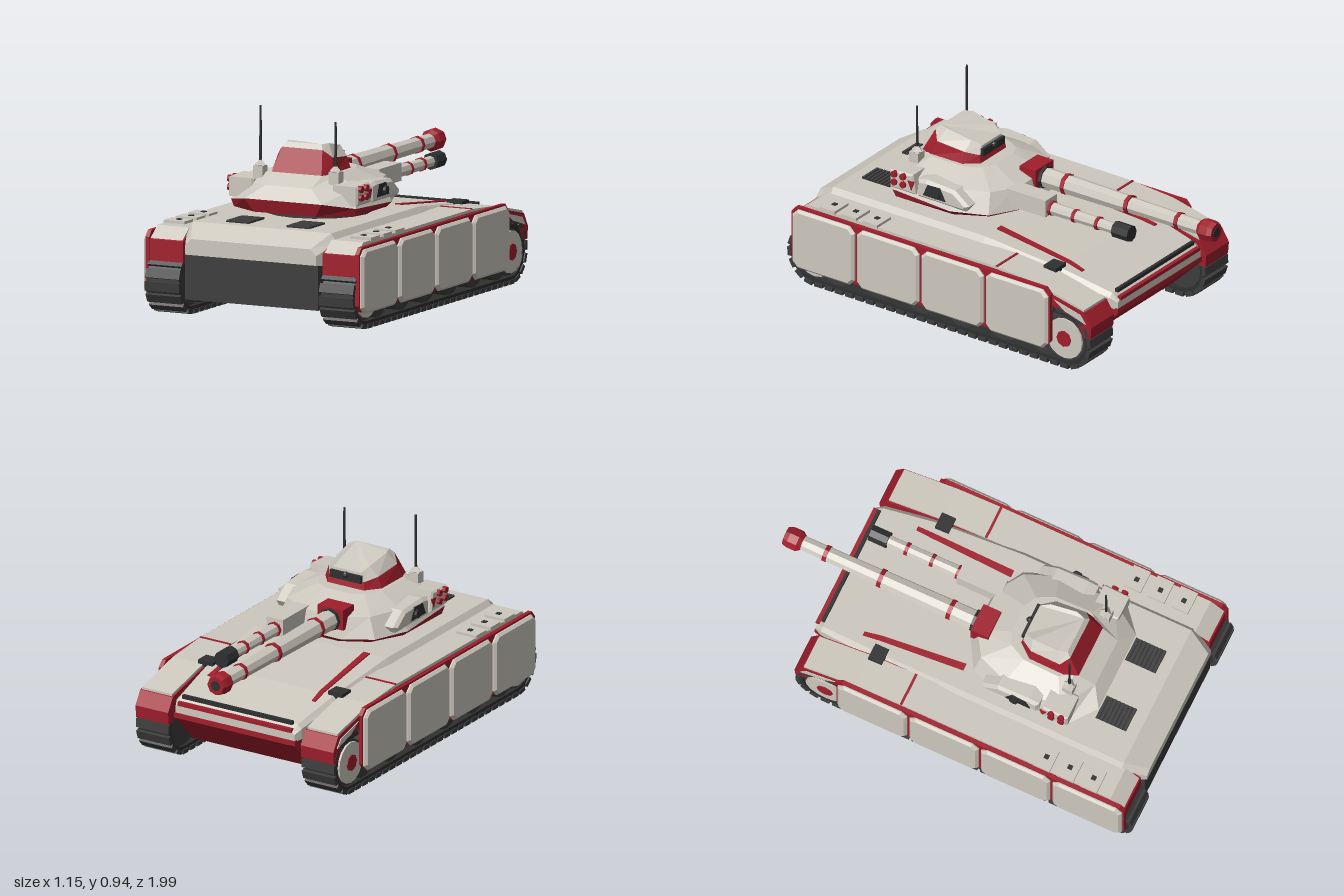
import * as THREE from 'three';

const mat = (name, color) => Object.assign(new THREE.MeshStandardMaterial({ color }), { name });

export function createModel() {
  const white = mat('warm white', 0xcdc8be), red = mat('deep red', 0xa01e2c);
  const dark = mat('dark grey', 0x3c3c3c), black = mat('rubber black', 0x2e2f30);
  const model = new THREE.Group();
  model.name = 'tank';

  // Adds a faceted mesh
  const add = (name, geo, material, x = 0, y = 0, z = 0, parent = model) => {
    const g = geo.index ? geo.toNonIndexed() : geo;
    g.computeVertexNormals();
    const m = new THREE.Mesh(g, material);
    m.name = name;
    m.position.set(x, y, z);
    parent.add(m);
    return m;
  };
  const box = (name, material, w, h, d, x, y, z, parent) =>
    add(name, new THREE.BoxGeometry(w, h, d), material, x, y, z, parent);

  // Skin over a list of rings of [x, y, z], counter-clockwise seen from the first ring's end
  const loft = (rings) => {
    const n = rings[0].length, p = [];
    for (let k = 0; k < rings.length - 1; k++) {
      const a = rings[k], b = rings[k + 1];
      for (let i = 0; i < n; i++) {
        const j = (i + 1) % n;
        p.push(...a[i], ...b[i], ...a[j], ...a[j], ...b[i], ...b[j]);
      }
    }
    const last = rings[rings.length - 1];
    for (let i = 1; i < n - 1; i++) {
      p.push(...rings[0][0], ...rings[0][i], ...rings[0][i + 1]);
      p.push(...last[0], ...last[i + 1], ...last[i]);
    }
    const g = new THREE.BufferGeometry();
    g.setAttribute('position', new THREE.Float32BufferAttribute(p, 3));
    return g;
  };
  // Symmetric plan outline: half runs rear to front as [x, z, y]
  const plan = (y, half) => {
    const r = half.map(([x, z, yy = y]) => [x, yy, z]);
    return r.concat(r.slice().reverse().map(([x, yy, z]) => [-x, yy, z]));
  };
  // Side profile of [z, y] points extruded across x and centred
  const profile = (pts, width, bevel = 0, hole) => {
    const v = (q) => q.map(([z, y]) => new THREE.Vector2(-z, y));
    const s = new THREE.Shape(v(pts));
    if (hole) s.holes.push(new THREE.Path(v(hole)));
    const g = new THREE.ExtrudeGeometry(s, {
      depth: width - 2 * bevel, bevelEnabled: bevel > 0, bevelSize: bevel,
      bevelThickness: bevel, bevelOffset: -bevel, bevelSegments: 1,
    });
    return g.translate(0, 0, -(width - 2 * bevel) / 2).rotateY(Math.PI / 2);
  };
  // Faceted tube along z, from z0 back to the lower z1
  const tube = (name, material, x, y, z0, z1, r0, r1 = r0) =>
    add(name, new THREE.CylinderGeometry(r0, r1, z0 - z1, 8).rotateX(Math.PI / 2), material, x, y, (z0 + z1) / 2);
  const disc = (name, material, r, w, x, y, z, sides = 16, parent = model) =>
    add(name, new THREE.CylinderGeometry(r, r, w, sides).rotateZ(Math.PI / 2), material, x, y, z, parent);

  // Hull: z, deck half-width, deck height, side half-width, shoulder height, bottom
  const stations = [
    [0.97, 0.31, 0.37, 0.34, 0.34, 0.295], [0.86, 0.36, 0.432, 0.39, 0.39, 0.28],
    [0, 0.36, 0.432, 0.39, 0.39, 0.28], [-0.42, 0.345, 0.388, 0.37, 0.36, 0.26],
    [-0.69, 0.32, 0.33, 0.34, 0.31, 0.26], [-0.725, 0.31, 0.3, 0.325, 0.29, 0.255],
  ];
  add('upperHull', loft(stations.map(([z, wt, t, wm, m, b]) =>
    [[-wm, b, z], [wm, b, z], [wm, m, z], [wt, t, z], [-wt, t, z], [-wm, m, z]])), white);
  add('lowerHull', profile([[0.962, 0.295], [0.962, 0.085], [-0.55, 0.085], [-0.7, 0.26]], 0.69), dark);
  add('lowerFrontPlate', profile([[-0.54, 0.08], [-0.57, 0.08], [-0.728, 0.235], [-0.728, 0.26], [-0.69, 0.265]], 0.66), red);
  box('frontLip', red, 0.62, 0.018, 0.02, 0, 0.308, -0.722);
  box('frontBar', black, 0.6, 0.018, 0.016, 0, 0.337, -0.7);

  const roundStart = 0.84, roundEnd = -0.575, wheelY = 0.15;
  const stadium = (r) => {
    const pts = [];
    for (let i = 0; i <= 12; i++) {
      const a = Math.PI / 2 - (i / 12) * Math.PI;
      pts.push([roundStart + Math.cos(a) * r, wheelY + Math.sin(a) * r]);
    }
    return pts.concat(pts.slice().reverse().map(([z, y]) => [roundStart + roundEnd - z, y]));
  };

  for (const s of [1, -1]) {
    // Running gear
    const gear = new THREE.Group();
    gear.name = s > 0 ? 'leftRunningGear' : 'rightRunningGear';
    model.add(gear);
    add('trackBand', profile(stadium(0.138), 0.165, 0, stadium(0.115)), black, s * 0.452, 0, 0, gear);
    const run = roundStart - roundEnd, arc = Math.PI * 0.14, total = 2 * (run + arc), count = 64;
    for (let i = 0; i < count; i++) {
      let d = (i / count) * total;
      const far = d >= run + arc;
      if (far) d -= run + arc;
      let z, y, a = 0;
      if (d < run) { z = roundEnd + d; y = wheelY - 0.14; }
      else {
        a = (d - run) / 0.14;
        z = roundStart + 0.14 * Math.sin(a);
        y = wheelY - 0.14 * Math.cos(a);
      }
      if (far) { z = roundStart + roundEnd - z; y = 2 * wheelY - y; }
      const link = box('trackLink', dark, 0.178, 0.02, 0.043, s * 0.452, y, z, gear);
      link.rotation.x = -a - (far ? Math.PI : 0);
    }
    for (let i = 0; i < 6; i++) disc('roadWheel', dark, 0.105, 0.15, s * 0.452, 0.14, 0.72 - i * 0.235, 18, gear);
    for (const z of [roundStart, roundEnd]) {
      disc('endWheel', dark, 0.112, 0.15, s * 0.452, wheelY, z, 16, gear);
      disc('wheelCover', white, 0.1, 0.01, s * 0.533, wheelY, z, 16, gear);
      disc('wheelHub', red, 0.04, 0.014, s * 0.537, wheelY, z, 8, gear);
    }

    // Fender with pale top plate
    add('fender', profile([[0.95, 0.24], [0.95, 0.35], [0.87, 0.39], [-0.19, 0.392], [-0.42, 0.375], [-0.69, 0.315],
      [-0.73, 0.25], [-0.725, 0.19], [-0.69, 0.19], [-0.64, 0.27], [-0.5, 0.3], [0.88, 0.3]], 0.178), red, s * 0.451);
    add('fenderTop', profile([[0.945, 0.352], [0.875, 0.405], [-0.19, 0.405], [-0.42, 0.387], [-0.685, 0.327],
      [-0.685, 0.31], [-0.42, 0.37], [-0.19, 0.385], [0.87, 0.385], [0.94, 0.34]], 0.165), white, s * 0.452);
    add('fenderSidePatch', profile([[-0.52, 0.337], [-0.67, 0.3], [-0.7, 0.26], [-0.58, 0.295]], 0.006), white, s * 0.541);
    box('fenderSeam', red, 0.165, 0.006, 0.012, s * 0.452, 0.405, -0.19);

    // Side skirts
    add('skirtBacking', profile([[0.955, 0.12], [0.955, 0.36], [0.93, 0.39], [-0.48, 0.39], [-0.508, 0.36],
      [-0.508, 0.12], [-0.48, 0.088], [0.93, 0.088]], 0.02), red, s * 0.545);
    for (let i = 0; i < 4; i++) {
      const c = 0.77 - i * 0.3645, h = 0.176, k = 0.03;
      add('skirtPanel', profile([[c - h, 0.08 + k], [c - h + k, 0.08], [c + h - k, 0.08], [c + h, 0.08 + k],
        [c + h, 0.38 - k], [c + h - k, 0.38], [c - h + k, 0.38], [c - h, 0.38 - k]], 0.03, 0.012), white, s * 0.558);
    }

    // Deck fittings
    for (const z of [0.525, 0.645, 0.765]) {
      box('stowageHatch', white, 0.11, 0.016, 0.085, s * 0.485, 0.41, z);
      box('hatchLatch', black, 0.022, 0.006, 0.022, s * 0.48, 0.419, z);
    }
    box('deckLamp', black, 0.08, 0.03, 0.07, s * 0.355, 0.39, -0.39);
    for (let i = 0; i < 8; i++) box('engineVentSlat', dark, 0.118, 0.014, 0.013, s * 0.157, 0.434, 0.655 + i * 0.02);
    box('engineVent', black, 0.118, 0.008, 0.155, s * 0.157, 0.432, 0.725);
    add('deckStripe', loft([[0, 0.235, 0.27, 0.432], [-0.42, 0.265, 0.29, 0.388], [-0.5, 0.275, 0.295, 0.371]].map(([z, a, b, y]) => {
      const [l, r] = s > 0 ? [a, b] : [-b, -a];
      return [[l, y - 0.003, z], [r, y - 0.003, z], [r, y + 0.005, z], [l, y + 0.005, z]];
    })), red);

    // Turret side pods: sight and grenade launcher
    add('sightPod', profile([[0.41, 0.5], [0.41, 0.59], [0.36, 0.6], [0.2, 0.59], [0.12, 0.53], [0.14, 0.5]], 0.1, 0.015), white, s * 0.282);
    add('sightWindow', profile([[0.37, 0.525], [0.345, 0.583], [0.275, 0.583], [0.245, 0.525]], 0.008), black, s * 0.333);
    disc('sightKnob', black, 0.02, 0.018, s * 0.341, 0.55, 0.29, 8);
    add('launcherPod', profile([[0.56, 0.51], [0.56, 0.6], [0.43, 0.607], [0.415, 0.51]], 0.13, 0.008), white, s * 0.27);
    for (const z of [0.53, 0.48]) for (const y of [0.587, 0.547]) disc('launcherTube', red, 0.016, 0.022, s * 0.338, y, z, 8);
    add('launcherMark', profile([[0.455, 0.575], [0.42, 0.575], [0.435, 0.53]], 0.008), red, s * 0.336);

    // Antennas, the right one taller
    const top = s > 0 ? 0.885 : 0.935;
    box('antennaBase', white, 0.05, 0.06, 0.05, s * 0.197, 0.625, 0.505);
    add('antennaSocket', new THREE.OctahedronGeometry(0.03), white, s * 0.195, 0.657, 0.505);
    add('antenna', new THREE.CylinderGeometry(0.005, 0.007, top - 0.65, 6), black, s * 0.195, (top + 0.65) / 2, 0.505);
  }

  // Turret
  add('turretRing', new THREE.CylinderGeometry(0.25, 0.25, 0.05, 16), dark, 0, 0.445, 0.305);
  const rim = plan(0.485, [[0.2, 0.655, 0.522], [0.325, 0.55, 0.497], [0.335, 0.22], [0.265, 0.05], [0.13, -0.03]]);
  add('turretSkirt', loft([rim, plan(0.46, [[0.16, 0.635], [0.315, 0.54], [0.31, 0.22], [0.23, 0.07], [0.1, 0]])]), red);
  add('turretBody', loft([
    plan(0.637, [[0.13, 0.5], [0.175, 0.44], [0.17, 0.26], [0.13, 0.18], [0.07, 0.15]]),
    plan(0.582, [[0.12, 0.6], [0.29, 0.5], [0.285, 0.22], [0.225, 0.07], [0.11, -0.005]]),
    rim,
  ]), white);

  // Commander cupola
  const eave = plan(0.69, [[0.105, 0.465, 0.742], [0.142, 0.43, 0.705], [0.135, 0.28], [0.097, 0.222, 0.675]]);
  add('cupola', loft([eave, plan(0.632, [[0.13, 0.52], [0.157, 0.46], [0.155, 0.28], [0.1, 0.212]])]), red);
  add('cupolaRoof', loft([plan(0.765, [[0.09, 0.445], [0.105, 0.4], [0.095, 0.27, 0.738], [0.075, 0.225, 0.715]]), eave]), white);
  box('cupolaVisor', black, 0.17, 0.036, 0.016, 0, 0.685, 0.217);
  add('cupolaLamp', new THREE.SphereGeometry(0.016, 8, 6), black, 0, 0.695, 0.21);

  // Main gun
  const gx = -0.07, gy = 0.57;
  box('mantlet', red, 0.14, 0.1, 0.09, gx, 0.578, 0.02);
  tube('gunCollar', black, gx, gy, 0, -0.04, 0.055);
  tube('gunSleeve', white, gx, gy, -0.03, -0.5, 0.049, 0.043);
  tube('gunBarrel', white, gx, gy, -0.5, -0.93, 0.04, 0.035);
  for (const [z, r] of [[-0.155, 0.051], [-0.51, 0.047], [-0.79, 0.041]]) tube('gunBand', red, gx, gy, z + 0.01, z - 0.01, r);
  tube('muzzleFlare', red, gx, gy, -0.91, -0.93, 0.038, 0.053);
  tube('muzzle', red, gx, gy, -0.93, -0.975, 0.053);
  tube('muzzleTip', red, gx, gy, -0.975, -0.998, 0.053, 0.045);
  tube('muzzleBore', black, gx, gy, -0.99, -1, 0.025);

  // Secondary gun
  const sx = 0.12, sy = 0.54;
  box('secondaryHousing', white, 0.09, 0.085, 0.22, sx, 0.55, -0.09);
  tube('secondaryCollar', red, sx, sy, -0.2, -0.215, 0.036);
  tube('secondaryBarrel', white, sx, sy, -0.2, -0.58, 0.031, 0.026);
  for (const z of [-0.34, -0.47]) tube('secondaryBand', red, sx, sy, z + 0.008, z - 0.008, 0.033);
  tube('secondaryMuzzle', black, sx, sy, -0.565, -0.655, 0.04);

  return model;
}
